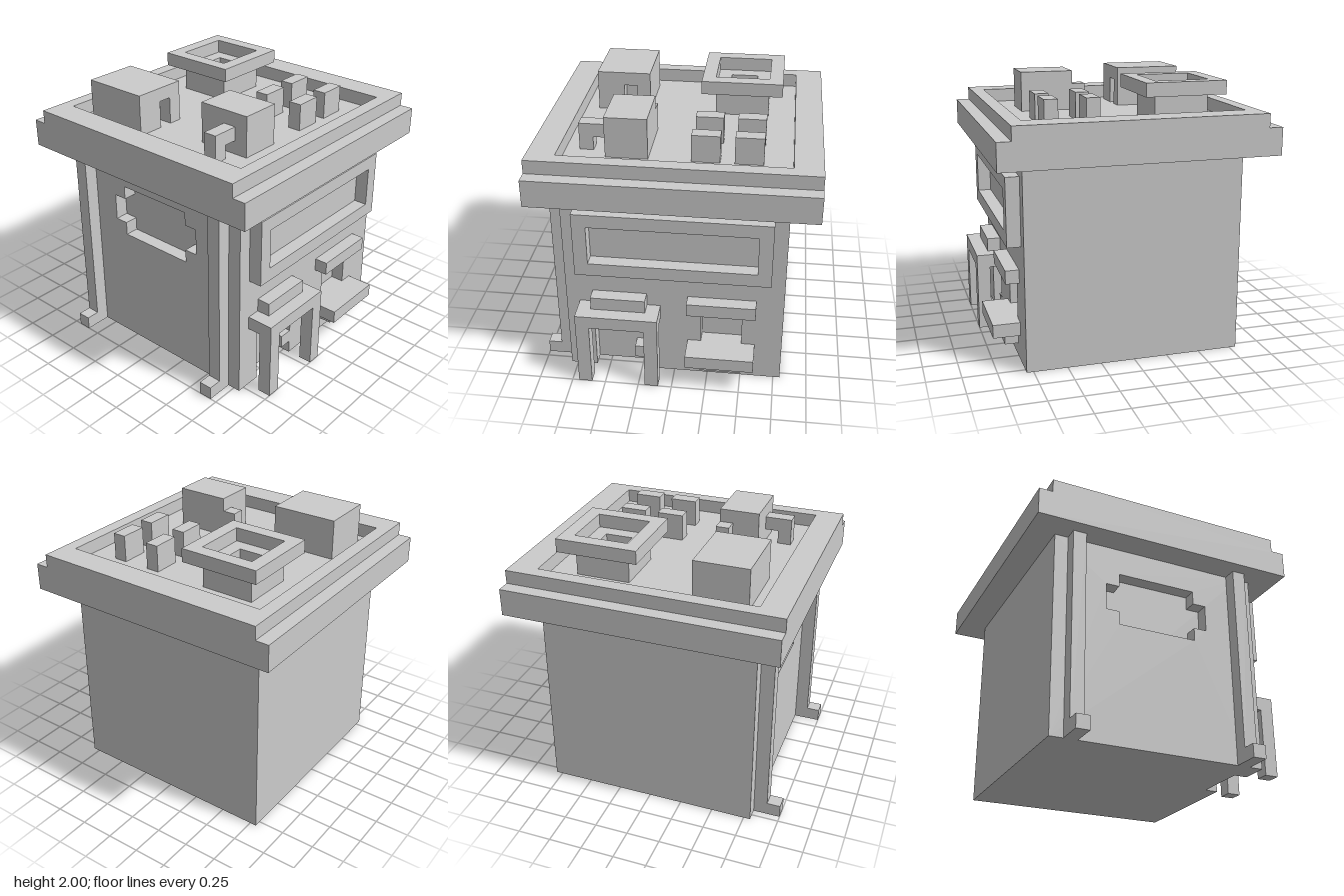
import * as THREE from 'three';

const material = new THREE.MeshStandardMaterial({ color: 0xcccccc, flatShading: true });

export function createModel() {
  const model = new THREE.Group();
  model.name = 'shopBuilding';

  const add = (name, geometry, parent = model) => {
    const mesh = new THREE.Mesh(geometry, material);
    mesh.name = name;
    parent.add(mesh);
    return mesh;
  };
  const group = (name) => {
    const g = new THREE.Group();
    g.name = name;
    model.add(g);
    return g;
  };
  // Box given by its extents along each axis
  const box = (name, [x0, x1], [y0, y1], [z0, z1], parent) =>
    add(name, new THREE.BoxGeometry(x1 - x0, y1 - y0, z1 - z0)
      .translate((x0 + x1) / 2, (y0 + y1) / 2, (z0 + z1) / 2), parent);

  const points = (list) => list.map(([x, y]) => new THREE.Vector2(x, y));
  const rect = (x0, x1, y0, y1) => [[x0, y0], [x1, y0], [x1, y1], [x0, y1]];
  // Flat plate, 0.1 thick by default, with cut-outs
  const plate = (outline, holes = [], depth = 0.1) => {
    const shape = new THREE.Shape(points(outline));
    holes.forEach((h) => shape.holes.push(new THREE.Path(points(h))));
    return new THREE.ExtrudeGeometry(shape, { depth, bevelEnabled: false });
  };
  // Horizontal square ring
  const ring = (outer, inner, depth) => plate(outer, [inner], depth).rotateX(-Math.PI / 2);

  // Walls: solid core with a pierced front skin and side skin
  const walls = group('walls');
  box('wallCore', [-0.7, 0.8], [0, 1.5], [-0.8, 0.7], walls);
  add('frontWall', plate(
    [[-0.8, 0], [-0.6, 0], [-0.6, 0.5], [-0.2, 0.5], [-0.2, 0], [0.8, 0], [0.8, 1.5], [-0.8, 1.5]],
    [rect(0.2, 0.5, 0.3, 0.6)]).translate(0, 0, 0.7), walls);
  const sideWindow = [
    [-0.3, 0.9], [0.3, 0.9], [0.3, 1.0], [0.4, 1.0], [0.4, 1.2], [0.3, 1.2],
    [0.3, 1.3], [-0.3, 1.3], [-0.3, 1.2], [-0.4, 1.2], [-0.4, 1.0], [-0.3, 1.0]];
  add('sideWallWithWindow', plate(rect(-0.8, 0.7, 0, 1.5), [sideWindow])
    .rotateY(-Math.PI / 2).translate(-0.7, 0, 0), walls);

  // Drainpipes with outlets
  for (const z of [-0.7, 0.6]) {
    const pipe = group('drainpipe');
    box('pipe', [-0.9, -0.8], [0, 1.5], [z, z + 0.1], pipe);
    box('outlet', [-1, -0.9], [0, 0.1], [z, z + 0.1], pipe);
  }

  // Framed sign panel
  add('signFrame', plate(rect(-0.7, 0.7, 0.9, 1.4), [rect(-0.6, 0.6, 1.0, 1.3)]).translate(0, 0, 0.8));

  // Porch and door
  const porch = group('porch');
  for (const x of [-0.7, -0.2]) box('porchPost', [x, x + 0.1], [0, 0.5], [0.9, 1], porch);
  box('porchRoof', [-0.7, -0.1], [0.5, 0.6], [0.8, 1], porch);
  box('doorPlaque', [-0.6, -0.2], [0.6, 0.7], [0.8, 0.9], porch);
  box('doorKnob', [-0.3, -0.2], [0.1, 0.2], [0.7, 0.8], porch);

  // Serving window
  const serving = group('servingWindow');
  box('windowHood', [0.1, 0.6], [0.6, 0.7], [0.8, 0.9], serving);
  box('counter', [0.1, 0.6], [0.2, 0.3], [0.8, 1], serving);
  box('counterSupport', [0.2, 0.5], [0.1, 0.2], [0.8, 0.9], serving);

  // Roof slab and parapet
  const roof = group('roof');
  box('roofSlab', [-1, 1], [1.5, 1.7], [-1, 1], roof);
  add('parapet', ring(rect(-1, 1, -0.9, 0.9), rect(-0.8, 0.8, -0.8, 0.8), 0.1).translate(0, 1.7, 0), roof);

  // Stair shed with a recessed doorway
  const shed = group('stairShed');
  box('shedCore', [-0.7, -0.3], [1.7, 2], [-0.7, -0.3], shed);
  add('shedFront', plate([[-0.7, 1.7], [-0.5, 1.7], [-0.5, 1.9], [-0.4, 1.9], [-0.4, 1.7],
    [-0.3, 1.7], [-0.3, 2], [-0.7, 2]]).translate(0, 0, -0.3), shed);

  // Stepped exhaust fan
  const fan = group('exhaustFan');
  box('fanFloor', [0.2, 0.6], [1.7, 1.8], [-0.6, -0.2], fan);
  add('fanBase', ring(rect(0.2, 0.6, 0.2, 0.6), rect(0.3, 0.5, 0.3, 0.5), 0.1).translate(0, 1.8, 0), fan);
  add('fanRim', ring(rect(0.1, 0.7, 0.1, 0.7), rect(0.2, 0.6, 0.2, 0.6), 0.1).translate(0, 1.9, 0), fan);

  // Air handling unit with ducts
  const unit = group('airUnit');
  box('unitBody', [-0.5, -0.2], [1.7, 2], [0.2, 0.6], unit);
  box('ductArm', [-0.7, -0.5], [1.8, 1.9], [0.4, 0.5], unit);
  box('ductLeg', [-0.7, -0.6], [1.7, 1.8], [0.4, 0.5], unit);
  box('rearDuct', [-0.3, -0.2], [1.7, 1.9], [0.1, 0.2], unit);

  // Roof vents
  for (const x of [0.1, 0.4])
    for (const z of [0.2, 0.5]) box('roofVent', [x, x + 0.2], [1.7, 1.9], [z, z + 0.1]);

  return model;
}
